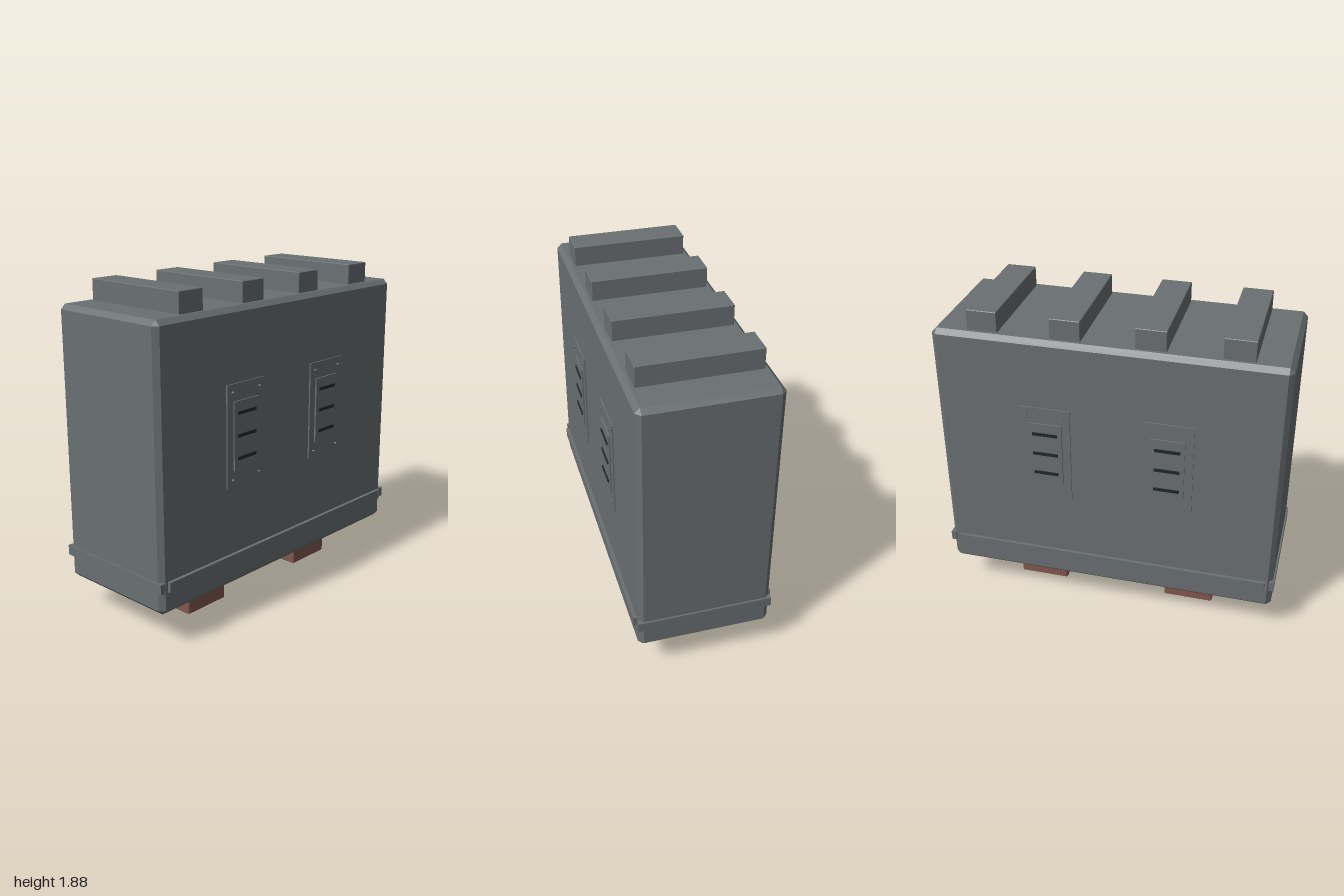
import * as THREE from 'three';
import { ConvexGeometry } from 'three/addons/geometries/ConvexGeometry.js';

const mat = (name, color) => {
  const m = new THREE.MeshStandardMaterial({ color });
  m.name = name;
  return m;
};

// Box with every edge cut flat by c
function chamferBox(w, h, d, c) {
  const pts = [];
  for (const x of [-1, 1]) for (const y of [-1, 1]) for (const z of [-1, 1]) {
    const X = w / 2, Y = h / 2, Z = d / 2;
    pts.push(
      new THREE.Vector3(x * X, y * (Y - c), z * (Z - c)),
      new THREE.Vector3(x * (X - c), y * Y, z * (Z - c)),
      new THREE.Vector3(x * (X - c), y * (Y - c), z * Z));
  }
  return new ConvexGeometry(pts);
}

export function createModel() {
  const grey = mat('casingGrey', 0x6a7072);
  const dark = mat('slotDark', 0x20292c);
  const rust = mat('footRust', 0x80584e);
  const model = new THREE.Group();
  model.name = 'cabinet';

  const add = (parent, name, geometry, material, x, y, z) => {
    const mesh = new THREE.Mesh(geometry, material);
    mesh.name = name;
    mesh.position.set(x, y, z);
    parent.add(mesh);
    return mesh;
  };

  // Casing
  add(model, 'casing', chamferBox(0.76, 1.575, 1.98, 0.028), grey, 0, 0.98, 0);

  // Ribs across the top
  const rib = chamferBox(0.67, 0.135, 0.172, 0.003);
  for (const z of [-0.702, -0.235, 0.235, 0.702]) add(model, 'topRib', rib, grey, 0, 1.8175, z);

  // Feet
  const foot = chamferBox(0.39, 0.21, 0.3, 0.006);
  for (const z of [-0.468, 0.468]) add(model, 'foot', foot, rust, 0, 0.105, z);

  // Trim strips around the base
  for (const s of [-1, 1]) {
    add(model, 'sideTrim', new THREE.BoxGeometry(0.03, 0.058, 1.89), grey, s * 0.385, 0.355, 0);
    add(model, 'endTrim', new THREE.BoxGeometry(0.77, 0.058, 0.03), grey, 0, 0.355, s * 0.985);
  }

  // Vent panel, facing +x, with its back on the casing
  function ventPanel() {
    const panel = new THREE.Group();
    panel.name = 'ventPanel';
    add(panel, 'backPlate', new THREE.BoxGeometry(0.016, 0.582, 0.29), grey, 0, 0, 0);
    add(panel, 'innerPlate', new THREE.BoxGeometry(0.024, 0.39, 0.195), grey, 0.005, 0, 0);
    for (const y of [-0.128, 0, 0.128])
      add(panel, 'ventSlot', new THREE.BoxGeometry(0.009, 0.018, 0.145), dark, 0.0185, y, 0);
    // Corner screws
    const screw = new THREE.CylinderGeometry(0.006, 0.006, 0.024, 10).rotateZ(-Math.PI / 2);
    for (const y of [-0.247, 0.247]) for (const z of [-0.106, 0.106])
      add(panel, 'screw', screw, grey, 0.011, y, z);
    return panel;
  }
  for (const s of [-1, 1]) for (const z of [-0.351, 0.351]) {
    const panel = ventPanel();
    panel.position.set(s * 0.38, 1.068, z);
    if (s < 0) panel.rotation.y = Math.PI;
    model.add(panel);
  }
  return model;
}
